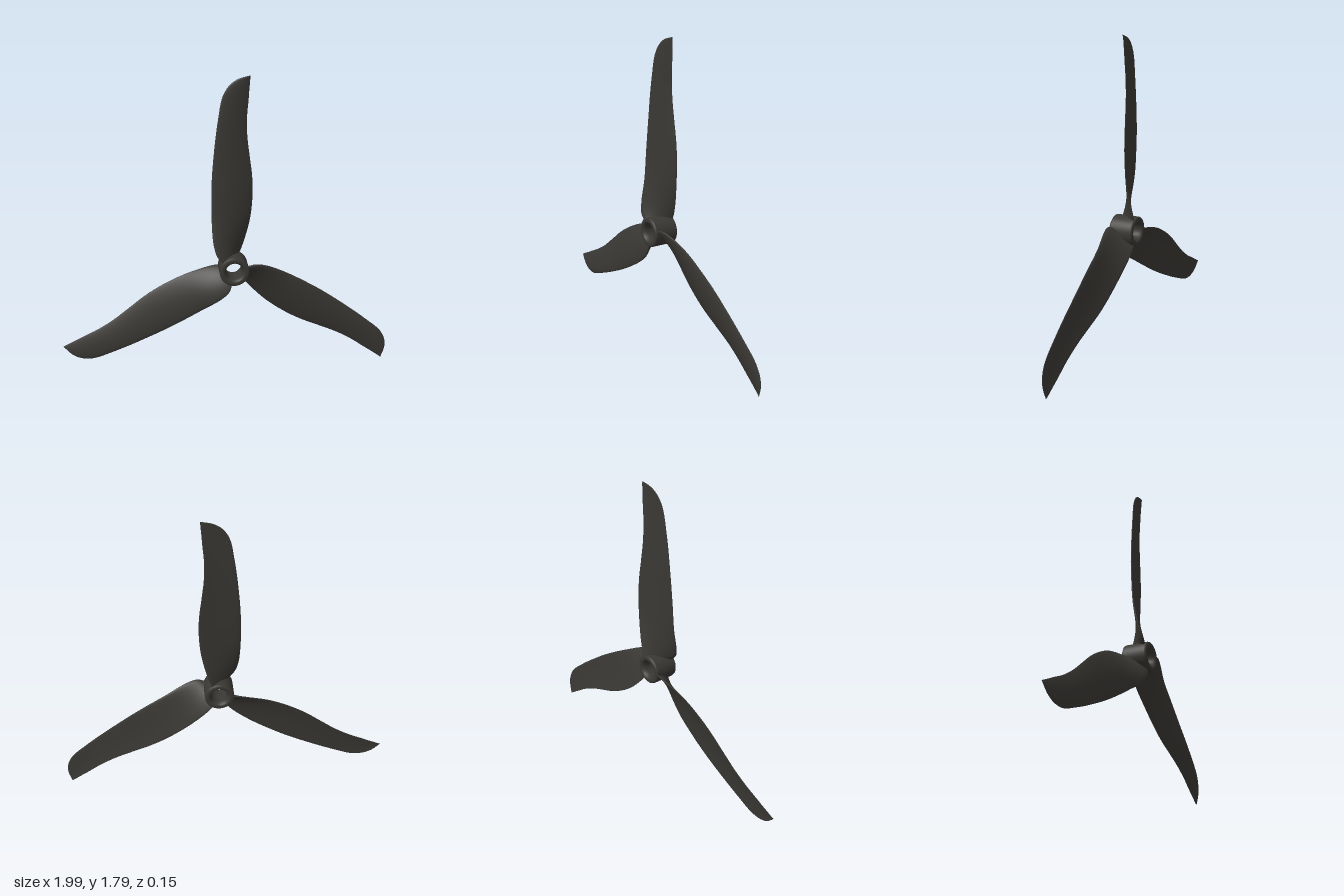
import * as THREE from 'three';

const material = new THREE.MeshStandardMaterial({ color: 0x3a3834, side: THREE.DoubleSide });

// Blade stations: [leading x, y, z], [trailing x, y, z], half thickness
const stations = [
  [[-0.062, 0.055, 0.062], [0.038, 0.06, -0.066], 0.02],
  [[-0.095, 0.09, 0.064], [0.052, 0.09, -0.067], 0.02],
  [[-0.118, 0.16, 0.05], [0.075, 0.16, -0.062], 0.018],
  [[-0.128, 0.29, 0.024], [0.106, 0.30, -0.048], 0.015],
  [[-0.129, 0.45, 0.012], [0.117, 0.45, -0.042], 0.013],
  [[-0.125, 0.56, 0.006], [0.112, 0.56, -0.039], 0.011],
  [[-0.116, 0.67, 0.002], [0.097, 0.67, -0.036], 0.010],
  [[-0.102, 0.80, -0.001], [0.081, 0.80, -0.033], 0.009],
  [[-0.086, 0.91, -0.004], [0.079, 0.91, -0.030], 0.008],
  [[-0.070, 1.00, -0.007], [0.086, 1.00, -0.028], 0.007],
  [[-0.053, 1.045, -0.009], [0.089, 1.05, -0.027], 0.006],
  [[-0.020, 1.09, -0.013], [0.092, 1.09, -0.026], 0.005],
  [[0.025, 1.12, -0.018], [0.094, 1.12, -0.026], 0.004],
  [[0.095, 1.138, -0.025], [0.096, 1.138, -0.025], 0.001],
];

const edgeCurve = (side) =>
  new THREE.CatmullRomCurve3(stations.map((s) => new THREE.Vector3(...s[side])));

// Twisted blade skinned over cambered aerofoil sections
function bladeGeometry() {
  const lead = edgeCurve(0), trail = edgeCurve(1);
  const rings = 78, around = 28;
  const positions = [], indices = [];
  for (let i = 0; i <= rings; i++) {
    const t = i / rings;
    const a = lead.getPoint(t), b = trail.getPoint(t);
    const f = t * (stations.length - 1);
    const k = Math.min(Math.floor(f), stations.length - 2);
    const half = THREE.MathUtils.lerp(stations[k][2], stations[k + 1][2], f - k);
    const chord = b.clone().sub(a);
    const normal = new THREE.Vector3(-chord.z, 0, chord.x).normalize();
    const camber = chord.length() * 0.045;
    for (let j = 0; j < around; j++) {
      const angle = (j / around) * Math.PI * 2;
      const u = 0.5 - 0.5 * Math.cos(angle);
      const offset = half * Math.sin(angle) * (1 - 0.45 * u) + camber * (4 * u * (1 - u) - 0.5);
      const p = a.clone().lerp(b, u).addScaledVector(normal, offset);
      positions.push(p.x, p.y, p.z);
      if (i < rings) {
        const p0 = i * around + j, p1 = i * around + ((j + 1) % around);
        indices.push(p0, p1, p1 + around, p0, p1 + around, p0 + around);
      }
    }
  }
  const geometry = new THREE.BufferGeometry();
  geometry.setAttribute('position', new THREE.Float32BufferAttribute(positions, 3));
  geometry.setIndex(indices);
  geometry.computeVertexNormals();
  return geometry;
}

// Hollow hub with softened rims and a flared bore, turned to lie along z
function hubGeometry() {
  const profile = [
    [0.048, 0.0], [0.048, -0.045], [0.051, -0.06], [0.058, -0.072], [0.066, -0.076],
    [0.08, -0.075], [0.086, -0.071], [0.088, -0.064],
    [0.088, 0.064], [0.086, 0.071], [0.08, 0.075], [0.066, 0.076],
    [0.058, 0.072], [0.051, 0.06], [0.048, 0.045], [0.048, 0.0],
  ].map(([r, y]) => new THREE.Vector2(r, y));
  return new THREE.LatheGeometry(profile, 64).rotateX(Math.PI / 2);
}

export function createModel() {
  const propeller = new THREE.Group();
  propeller.name = 'propeller';

  const rotor = new THREE.Group();
  rotor.name = 'rotor';
  rotor.position.set(0.03, 0.657, 0);
  propeller.add(rotor);

  const hub = new THREE.Mesh(hubGeometry(), material);
  hub.name = 'hub';
  rotor.add(hub);

  // Three equal blades
  const geometry = bladeGeometry();
  ['topBlade', 'rightBlade', 'leftBlade'].forEach((name, i) => {
    const blade = new THREE.Mesh(geometry, material);
    blade.name = name;
    blade.rotation.z = (i * Math.PI * 2) / 3;
    rotor.add(blade);
  });

  return propeller;
}
